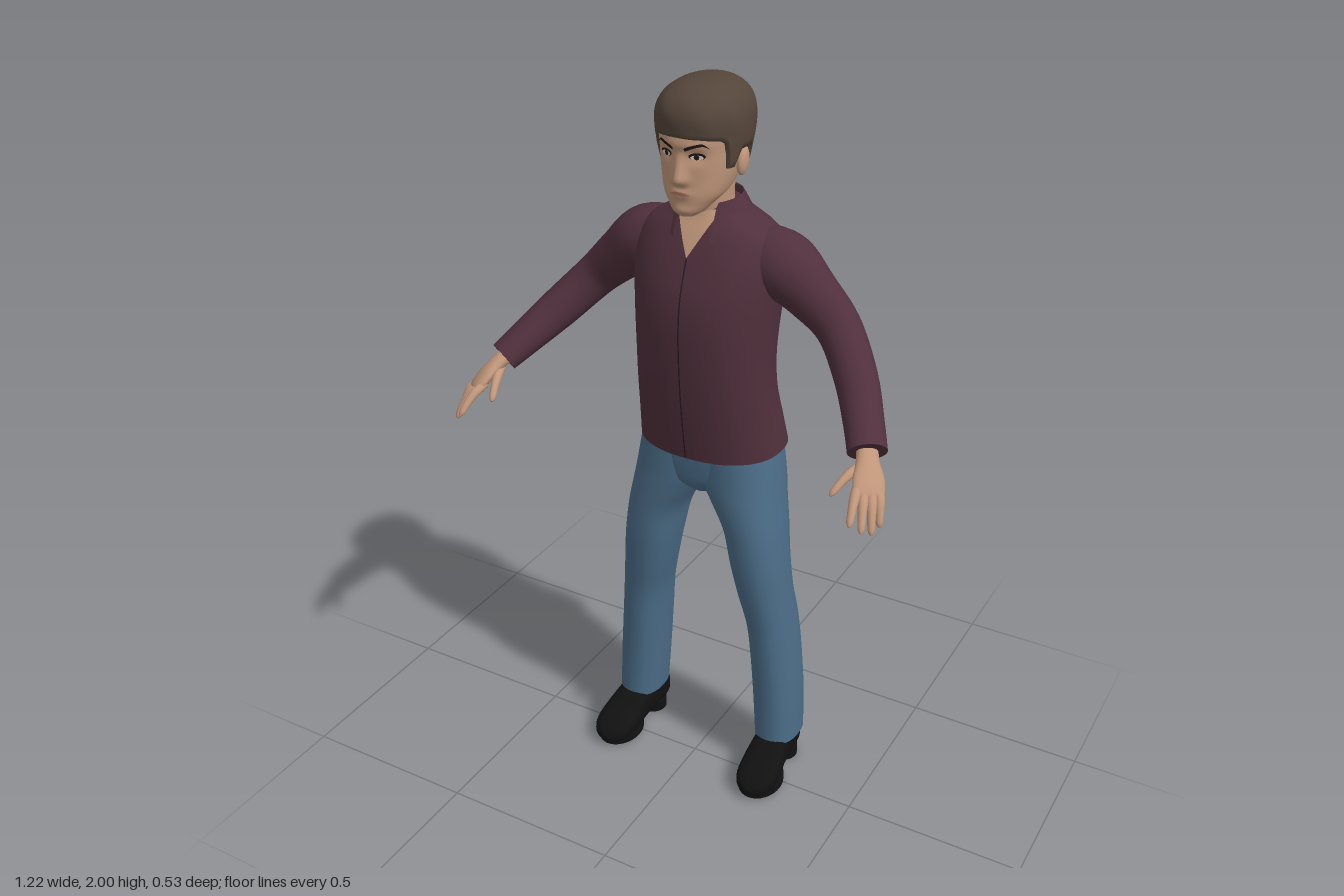
import * as THREE from 'three';

const mat = (name, color) => new THREE.MeshStandardMaterial({ name, color, side: THREE.DoubleSide });
const skin = mat('skin', 0xc0967a), shirt = mat('shirt plum', 0x50303c), denim = mat('denim', 0x4b6c87);
const hairMat = mat('hair brown', 0x54453a), black = mat('shoe black', 0x111111), seam = mat('seam', 0x2c1a22);
const white = mat('eye white', 0xd6cdc4), dark = mat('dark brown', 0x1d1613), lipMat = mat('lips', 0xa87260);

// Indexed grid; f(i, j) gives the point of row i, column j.
function grid(rows, cols, f, wrap = true) {
  const pos = [], idx = [], n = wrap ? cols : cols + 1;
  for (let i = 0; i <= rows; i++) for (let j = 0; j < n; j++) pos.push(...f(i, j));
  for (let i = 0; i < rows; i++) for (let j = 0; j < cols; j++) {
    const k = (j + 1) % n, a = i * n + j, b = i * n + k, c = b + n, d = a + n;
    idx.push(a, b, c, a, c, d);
  }
  const g = new THREE.BufferGeometry();
  g.setAttribute('position', new THREE.Float32BufferAttribute(pos, 3));
  g.setIndex(idx);
  g.computeVertexNormals();
  return g;
}

// Smooth interpolation through rows of numbers, t from 0 to 1.
function rowAt(rows, t) {
  const n = rows.length - 1, s = Math.min(t * n, n - 1e-9), i = Math.floor(s), f = s - i;
  const r = k => rows[Math.max(0, Math.min(n, k))];
  return r(i).map((b, k) => {
    const a = r(i - 1)[k], c = r(i + 1)[k], d = r(i + 2)[k];
    return b + 0.5 * f * (c - a + f * (2 * a - 5 * b + 4 * c - d + f * (3 * (b - c) + d - a)));
  });
}
function tAtY(rows, y) {
  let lo = 0, hi = 1;
  for (let k = 0; k < 30; k++) { const m = (lo + hi) / 2; if (rowAt(rows, m)[0] < y) lo = m; else hi = m; }
  return lo;
}
// Point on a rounded section [y, centre x, half width, z front, z back].
const pw = (v, p) => Math.sign(v) * Math.pow(Math.abs(v), 2 / p);
function ringPoint([y, cx, w, zf, zb], a, p) {
  return [cx + w * pw(Math.sin(a), p), y, (zf + zb) / 2 + (zf - zb) / 2 * pw(Math.cos(a), p)];
}
// Front z of a loft at (x, y)
function frontZ(rows, p, x, y) {
  const [, cx, w, zf, zb] = rowAt(rows, tAtY(rows, y));
  const q = Math.min(1, Math.abs((x - cx) / w));
  return (zf + zb) / 2 + (zf - zb) / 2 * Math.pow(1 - Math.pow(q, p), 1 / p);
}
// Capped stack of rings: ring(t, angle) and centre(t)
function capped(rows, cols, ring, centre) {
  return grid(rows + 4, cols, (i, j) => {
    if (i === 0) return centre(0);
    if (i === rows + 4) return centre(1);
    return ring(Math.max(0, Math.min(rows, i - 2)) / rows, j / cols * Math.PI * 2);
  });
}
function loft(rows, p = 2.2, n = 40, cols = 40, warp = q => q) {
  return capped(n, cols, (t, a) => warp(ringPoint(rowAt(rows, t), a, p), a), t => {
    const [y, cx, , zf, zb] = rowAt(rows, t);
    return [cx, y, (zf + zb) / 2];
  });
}
// Tube through rows [x, y, z, radius along side, radius across]
function sweep(rows, side, n = 16, cols = 16) {
  const at = t => new THREE.Vector3(...rowAt(rows, t).slice(0, 3));
  return capped(n, cols, (t, a) => {
    const r = rowAt(rows, t), c = at(t);
    const d = at(Math.min(1, t + 0.02)).sub(at(Math.max(0, t - 0.02))).normalize();
    const s = new THREE.Vector3(...side);
    s.addScaledVector(d, -s.dot(d)).normalize();
    const m = d.clone().cross(s);
    return c.addScaledVector(s, Math.cos(a) * r[3]).addScaledVector(m, Math.sin(a) * r[4]).toArray();
  }, t => at(t).toArray());
}
function mirrored(geo) {
  const g = geo.clone().scale(-1, 1, 1), ix = g.index.array;
  for (let i = 0; i < ix.length; i += 3) [ix[i], ix[i + 1]] = [ix[i + 1], ix[i]];
  g.computeVertexNormals();
  return g;
}

export function createModel() {
  const model = new THREE.Group();
  model.name = 'standingMan';
  const add = (name, geo, m) => {
    const mesh = new THREE.Mesh(geo, m);
    mesh.name = name;
    model.add(mesh);
  };
  const pair = (name, geo, m) => { add(name + 'Left', geo, m); add(name + 'Right', mirrored(geo), m); };

  // Shirt body
  const torso = [[1.02, 0, .2, .05, -.262], [1.1, 0, .193, .062, -.238], [1.2, 0, .186, .075, -.205],
    [1.3, 0, .184, .083, -.2], [1.4, 0, .188, .085, -.215], [1.48, 0, .195, .075, -.23], [1.55, 0, .2, .052, -.23],
    [1.6, 0, .188, .03, -.215], [1.635, 0, .16, .012, -.195], [1.665, 0, .11, -.004, -.175], [1.69, 0, .074, -.012, -.16]];
  const TP = 2.3;
  add('shirtBody', loft(torso, TP, 50, 56), shirt);
  // Sleeves
  pair('sleeve', sweep([[.1, 1.57, -.1, .07, .07], [.19, 1.548, -.097, .087, .084], [.27, 1.487, -.1, .07, .07],
    [.35, 1.413, -.095, .058, .058], [.43, 1.325, -.03, .054, .054], [.49, 1.255, .05, .05, .046],
    [.526, 1.212, .105, .049, .04]], [.7, 0, -.6], 36, 28), shirt);
  // Open neck and front seam
  add('openNeck', grid(14, 10, (i, j) => {
    const y = 1.575 + .113 * i / 14, x = (j / 5 - 1) * .06 * i / 14;
    return [x, y, frontZ(torso, TP, x, y) + .004];
  }, false), skin);
  add('frontSeam', grid(40, 1, (i, j) => {
    const y = 1.025 + .55 * i / 40, x = (j - .5) * .004;
    return [x, y, frontZ(torso, TP, x, y) + .002];
  }, false), seam);
  // Folded collar
  const fold = [[1.65, 0, .07, -.015, -.155], [1.705, 0, .074, -.008, -.164], [1.70, 0, .082, 0, -.172], [1.652, 0, .115, .034, -.19]];
  add('collar', grid(12, 48, (i, j) => {
    const t = i / 12, start = .95 - .5 * t;
    const a = start + (Math.PI * 2 - 2 * start) * j / 48;
    const q = ringPoint(rowAt(fold, t), a, 2);
    q[1] -= .04 * t * t * Math.max(0, Math.cos(a));
    return q;
  }, false), shirt);

  // Trousers
  add('trouserSeat', loft([[.885, 0, .03, -.02, -.14], [.92, 0, .11, .015, -.2], [.97, 0, .187, .025, -.222],
    [1.06, 0, .184, .03, -.225]], 2.3, 16), denim);
  const leg = [[.11, .165, .29, -.012, -.18], [.25, .155, .285, -.012, -.183], [.4, .145, .272, -.005, -.183],
    [.5, .135, .262, .002, -.176], [.6, .112, .25, .016, -.163], [.7, .09, .24, .027, -.163], [.8, .067, .228, .03, -.178],
    [.88, .022, .215, .03, -.198], [.94, -.01, .206, .028, -.213], [1.05, -.02, .186, .026, -.222]];
  pair('trouserLeg', loft(leg.map(([y, a, b, f, k]) => [y, (a + b) / 2, (b - a) / 2, f, k]), 2.3, 44, 32), denim);

  // Shoes, lofted from heel to toe
  pair('shoe', loft([[-.172, .222, .025, -.03, -.085], [-.16, .223, .044, -.018, -.125], [-.1, .226, .051, -.016, -.145],
    [-.03, .23, .053, -.015, -.128], [.03, .235, .06, -.012, -.095], [.08, .237, .055, -.012, -.076],
    [.108, .238, .038, -.016, -.058], [.122, .238, .008, -.025, -.04]], 2.8, 30, 32).rotateX(Math.PI / 2), black);
  pair('shoeHeel', new THREE.CylinderGeometry(1, 1, .03, 24).scale(.048, 1, .045).translate(.224, .015, -.122), black);
  pair('shoeSole', new THREE.CylinderGeometry(1, 1, .018, 32).scale(.061, 1, .08).translate(.236, .015, .032), black);

  // Hands
  const spread = [.7, -.2, -.6];
  pair('palm', sweep([[.515, 1.225, .085, .027, .023], [.535, 1.2, .122, .029, .02], [.553, 1.173, .153, .04, .018],
    [.566, 1.147, .18, .04, .014], [.569, 1.139, .186, .03, .007]], spread, 16, 20), skin);
  const fingers = [['indexFinger', [.54, 1.158, .192], [.558, 1.1, .268]], ['middleFinger', [.556, 1.15, .187], [.582, 1.08, .252]],
    ['ringFinger', [.573, 1.144, .178], [.599, 1.07, .23]], ['littleFinger', [.588, 1.14, .165], [.606, 1.078, .2]],
    ['thumb', [.52, 1.185, .135], [.487, 1.14, .222]]];
  for (const [name, a, b] of fingers) {
    const row = (t, r) => [...a.map((v, k) => v + (b[k] - v) * t + (k === 1 ? .035 * t * (1 - t) : 0)), r, r];
    pair(name, sweep([row(-.15, .0115), row(.25, .0125), row(.6, .0105), row(.9, .0085), row(1, .003)], spread, 12, 12), skin);
  }

  // Neck and head
  add('neck', loft([[1.58, 0, .07, -.02, -.15], [1.66, 0, .062, -.008, -.143], [1.71, 0, .061, .002, -.138],
    [1.78, 0, .066, .0, -.14]], 2, 16), skin);
  const head = [[1.688, 0, .024, .06, .0], [1.7, 0, .04, .069, -.02], [1.72, 0, .058, .072, -.055], [1.745, 0, .077, .073, -.1],
    [1.79, 0, .091, .073, -.145], [1.84, 0, .097, .075, -.165], [1.9, 0, .1, .073, -.17], [1.95, 0, .085, .048, -.152],
    [1.98, 0, .04, 0, -.1]];
  const HP = 2.2, gauss = (d, s) => Math.exp(-d * d / (s * s));
  // Nose, eye sockets, brow, lips and chin
  const relief = (x, y) => {
    const up = Math.max(0, Math.min(1, (1.85 - y) / .062)), under = Math.max(0, Math.min(1, (y - 1.764) / .016));
    return .024 * gauss(x, .009 + .009 * up) * up * under - .008 * gauss(Math.abs(x) - .04, .02) * gauss(y - 1.838, .016)
      + .004 * gauss(y - 1.866, .012) * gauss(x, .07) + .006 * gauss(x, .028) * gauss(y - 1.748, .012)
      + .004 * gauss(x, .025) * gauss(y - 1.705, .012);
  };
  add('head', loft(head, HP, 72, 96, (q, a) => {
    if (Math.cos(a) > 0) q[2] += relief(q[0], q[1]) * Math.min(1, Math.cos(a) * 3);
    return q;
  }), skin);
  pair('ear', new THREE.SphereGeometry(1, 16, 12).scale(.013, .036, .022).rotateX(-.2).translate(.1, 1.81, -.052), skin);

  // Thin face details laid on the head
  const patch = (pts, lift) => {
    const s = new THREE.Shape();
    s.moveTo(...pts[0]);
    s.splineThru(pts.slice(1).concat([pts[0]]).map(p => new THREE.Vector2(...p)));
    const g = new THREE.ShapeGeometry(s, 6), p = g.attributes.position;
    for (let i = 0; i < p.count; i++) {
      const x = p.getX(i), y = p.getY(i);
      p.setZ(i, frontZ(head, HP, x, y) + relief(x, y) + lift);
    }
    g.computeVertexNormals();
    return g;
  };
  const oval = (x, y, rx, ry) => [0, 1, 2, 3, 4, 5, 6, 7].map(k => [x + rx * Math.cos(k * Math.PI / 4), y + ry * Math.sin(k * Math.PI / 4)]);
  pair('eyeRim', patch(oval(.041, 1.8415, .0185, .0085), .003), dark);
  pair('eye', patch(oval(.041, 1.839, .0145, .0055), .0045), white);
  pair('iris', patch(oval(.04, 1.8395, .006, .006), .006), dark);
  pair('eyebrow', patch([[.016, 1.854], [.035, 1.862], [.056, 1.867], [.068, 1.86], [.055, 1.873], [.033, 1.869], [.016, 1.862]], .004), dark);
  add('mouth', patch([[-.026, 1.748], [-.01, 1.743], [0, 1.742], [.01, 1.743], [.026, 1.748], [.008, 1.754], [0, 1.753], [-.008, 1.754]], .003), lipMat);

  // Hair: shell from the hairline to the crown
  const hair = [[1.73, 0, .074, .07, -.14], [1.77, 0, .092, .075, -.162], [1.82, 0, .105, .078, -.176], [1.88, 0, .113, .082, -.186],
    [1.93, 0, .111, .084, -.188], [1.965, 0, .094, .066, -.172], [1.988, 0, .063, .03, -.14], [1.998, 0, .03, -.01, -.095], [2, 0, 0, -.05, -.05]];
  const line = [[0, 1.885], [.45, 1.883], [.9, 1.878], [1.08, 1.865], [1.17, 1.805], [1.32, 1.805], [1.42, 1.845],
    [1.8, 1.845], [1.98, 1.79], [2.2, 1.765], [3.2, 1.75]];
  const hairline = a => {
    const k = Math.max(1, line.findIndex(p => p[0] >= a)), [a0, y0] = line[k - 1], [a1, y1] = line[k];
    return y0 + (y1 - y0) * (a - a0) / (a1 - a0);
  };
  const N = 96;
  add('hair', grid(26, N, (i, j) => {
    const a = j / N * Math.PI * 2, y = hairline(Math.min(a, Math.PI * 2 - a));
    if (i === 0) return ringPoint(rowAt(head, tAtY(head, y)), a, HP);
    const t0 = tAtY(hair, y), t = t0 + (1 - t0) * (i - 1) / 25;
    const q = ringPoint(rowAt(hair, t), a, 2.15);
    const lump = 1 + .014 * Math.sin(7 * a + 9 * t) * Math.sin(14 * t + 2 * a) * (1 - t);
    return [q[0] * lump, q[1], -.05 + (q[2] + .05) * lump];
  }), hairMat);

  return model;
}
